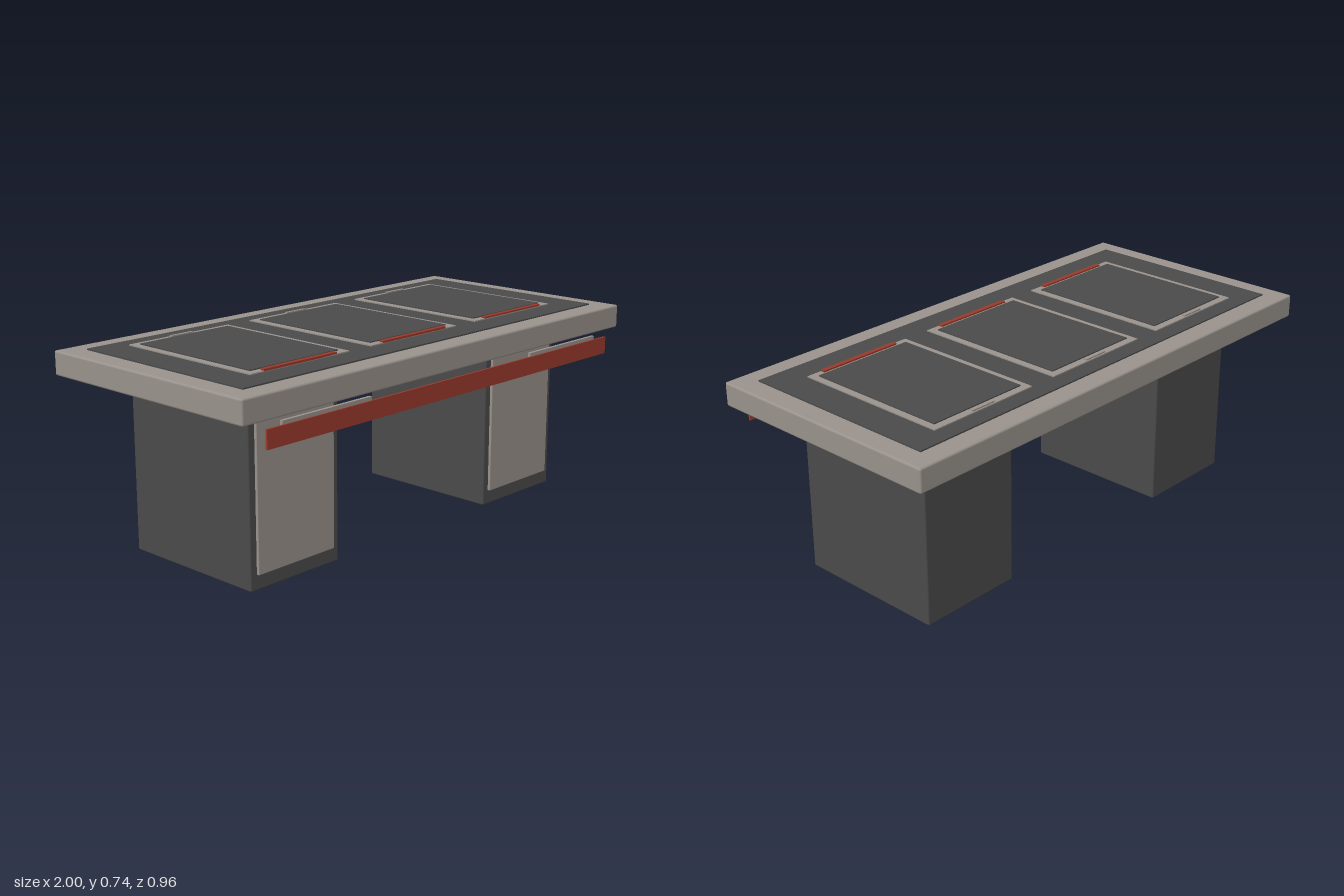
import * as THREE from 'three';
import { RoundedBoxGeometry } from 'three/addons/geometries/RoundedBoxGeometry.js';

const material = (name, color) => {
  const m = new THREE.MeshStandardMaterial({ color });
  m.name = name;
  return m;
};

export function createModel() {
  const group = new THREE.Group();
  const grey = material('warm grey', 0x99928c);
  const dark = material('charcoal', 0x4a4a4a);
  const red = material('brick red', 0x9a3a2c);

  // Box given by its limits on each axis, with an optional rounded edge
  const box = (name, mat, [x0, x1], [y0, y1], [z0, z1], radius = 0) => {
    const size = [x1 - x0, y1 - y0, z1 - z0];
    const geometry = radius
      ? new RoundedBoxGeometry(...size, 2, radius)
      : new THREE.BoxGeometry(...size);
    const mesh = new THREE.Mesh(geometry, mat);
    mesh.name = name;
    mesh.position.set((x0 + x1) / 2, (y0 + y1) / 2, (z0 + z1) / 2);
    group.add(mesh);
  };

  // Table top with its dark inlay
  box('tableTop', grey, [-1, 1], [0.64, 0.729], [-0.48, 0.472], 0.008);
  box('topInlay', dark, [-0.92, 0.92], [0.726, 0.734], [-0.4, 0.39]);

  // Three framed screens with a red strip in front and a small tab behind
  for (const x of [-0.565, 0, 0.565]) {
    box('screenFrame', grey, [x - 0.228, x + 0.228], [0.733, 0.738], [-0.332, 0.286]);
    box('screen', dark, [x - 0.202, x + 0.202], [0.736, 0.742], [-0.303, 0.256]);
    box('screenStrip', red, [x - 0.168, x + 0.168], [0.736, 0.744], [0.268, 0.286]);
    box('screenTab', grey, [x - 0.05, x + 0.05], [0.736, 0.743], [-0.327, -0.316]);
  }

  // Pedestals, front doors and brackets on both sides
  for (const s of [-1, 1]) {
    const span = (a, b) => (s > 0 ? [a, b] : [-b, -a]);
    box('pedestal', dark, span(0.402, 0.815), [0, 0.64], [-0.298, 0.292], 0.006);
    box('pedestalDoor', grey, span(0.43, 0.787), [0.055, 0.584], [0.286, 0.302], 0.003);
    box('railBracket', grey, span(0.43, 0.836), [0.61, 0.63], [0.464, 0.476]);
  }

  // Long front rail
  box('frontRail', red, [-0.907, 0.907], [0.551, 0.617], [0.474, 0.482]);

  return group;
}
